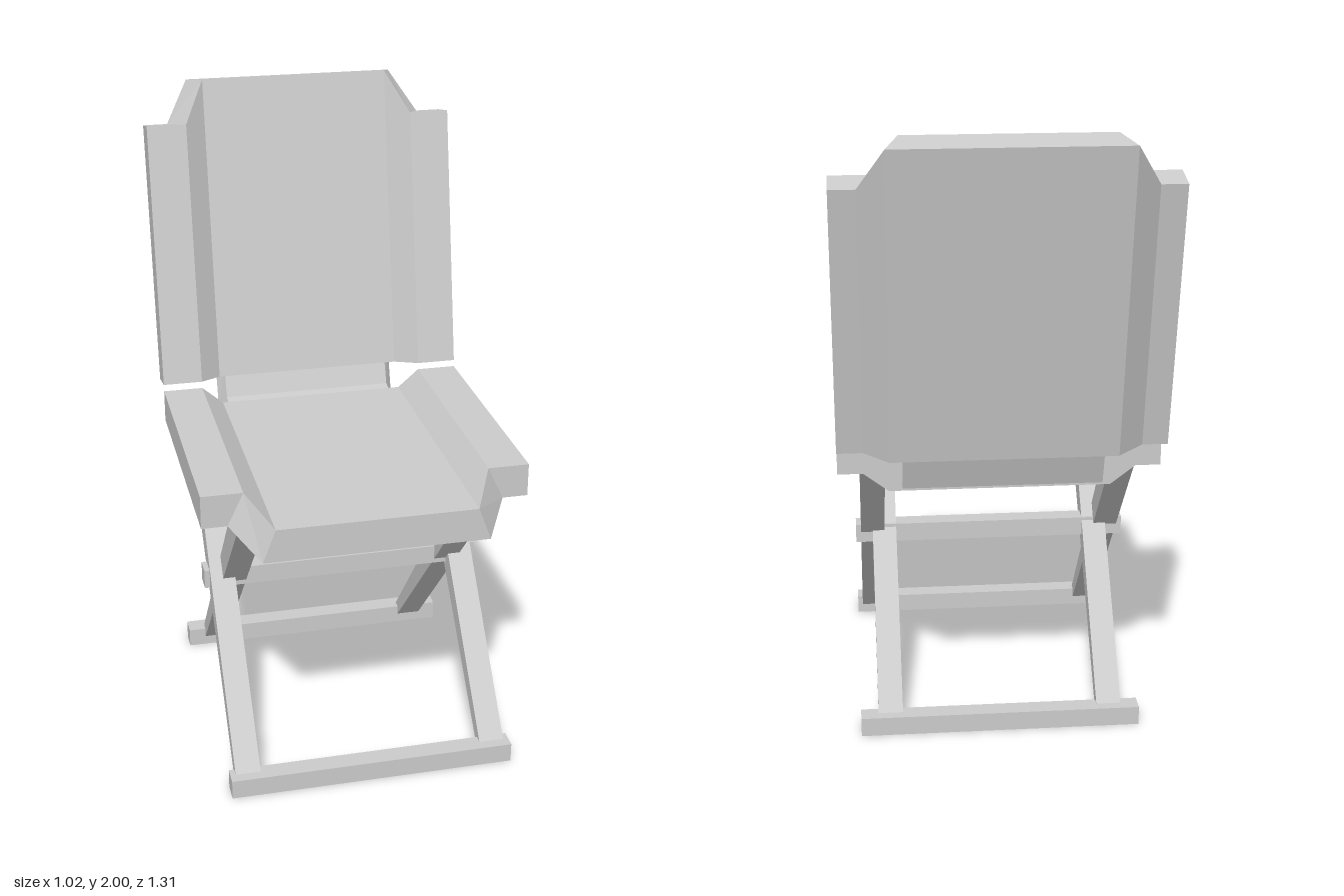
import * as THREE from 'three';

const material = new THREE.MeshStandardMaterial({ color: 0xcccccc, flatShading: true });

// Skins a row of four-cornered rings (corners run counterclockwise about the travel direction)
function loft(rings) {
  const pos = [];
  const quad = (a, b, c, d) => pos.push(...a, ...b, ...c, ...a, ...c, ...d);
  for (let s = 0; s < rings.length - 1; s++) {
    const a = rings[s], b = rings[s + 1];
    for (let i = 0; i < 4; i++) {
      const j = (i + 1) % 4;
      quad(a[i], a[j], b[j], b[i]);
    }
  }
  quad(...[...rings[0]].reverse());
  quad(...rings[rings.length - 1]);
  const geo = new THREE.BufferGeometry();
  geo.setAttribute('position', new THREE.Float32BufferAttribute(pos, 3));
  geo.computeVertexNormals();
  return geo;
}

// Cushion with raised side bolsters and a longer, sunken centre; lies along +z from its origin
function cushionGeometry(sideLength, centreLength) {
  const thick = 0.106, drop = 0.061;
  // [top x, bottom x, top height, length]
  const half = [
    [0.51, 0.51, 0, sideLength],
    [0.38, 0.43, 0, sideLength],
    [0.31, 0.35, -drop, centreLength],
  ];
  const stations = [
    ...half.map(([t, b, y, l]) => [-t, -b, y, l]),
    ...[...half].reverse(),
  ];
  return loft(stations.map(([t, b, y, l]) => [
    [t, y, 0], [t, y, l], [b, y - thick, l], [b, y - thick, 0],
  ]));
}

export function createModel() {
  const model = new THREE.Group();
  const add = (name, geo) => {
    const mesh = new THREE.Mesh(geo, material);
    mesh.name = name;
    model.add(mesh);
    return mesh;
  };

  // Seat and reclined backrest share one cushion shape
  add('seat', cushionGeometry(0.81, 0.95)).position.set(0, 1.005, -0.29);
  const back = add('backrest', cushionGeometry(0.862, 1.003));
  back.position.set(0, 1.028, -0.29);
  back.rotation.set(Math.PI / 2 - 0.198, Math.PI, 0);

  // Bent plate joining seat and backrest: [bottom z, bottom y, top z, top y]
  const bends = [
    [-0.27, 0.862, -0.27, 0.915],
    [-0.39, 0.885, -0.36, 0.932],
    [-0.44, 1.03, -0.4, 1.03],
  ];
  add('backBracket', loft(bends.map(([bz, by, tz, ty]) => [
    [-0.31, by, bz], [-0.285, ty, tz], [0.285, ty, tz], [0.31, by, bz],
  ])));

  // Crossed legs, slightly tapered towards the feet: [z, y]
  const frontProfile = [[-0.245, 0.905], [-0.118, 0.905], [0.61, 0.06], [0.58, 0.03]];
  const rearProfile = frontProfile.map(([z, y]) => [0.3 - z, y]).reverse();
  const leg = (name, profile, x) => add(name, loft(
    [x - 0.04, x + 0.04].map((px) => profile.map(([z, y]) => [px, y, z]))));
  for (const side of [-1, 1]) {
    const prefix = side > 0 ? 'left' : 'right';
    leg(prefix + 'FrontFootLeg', frontProfile, side * 0.4);
    leg(prefix + 'RearFootLeg', rearProfile, side * 0.36);
  }

  // Cross bars: two feet and the pivot
  const bars = [['frontFootBar', 0.0315, 0.61], ['rearFootBar', 0.0315, -0.31], ['pivotBar', 0.525, 0.14]];
  for (const [name, y, z] of bars) {
    add(name, new THREE.BoxGeometry(0.914, 0.063, 0.063)).position.set(0, y, z);
  }
  return model;
}
